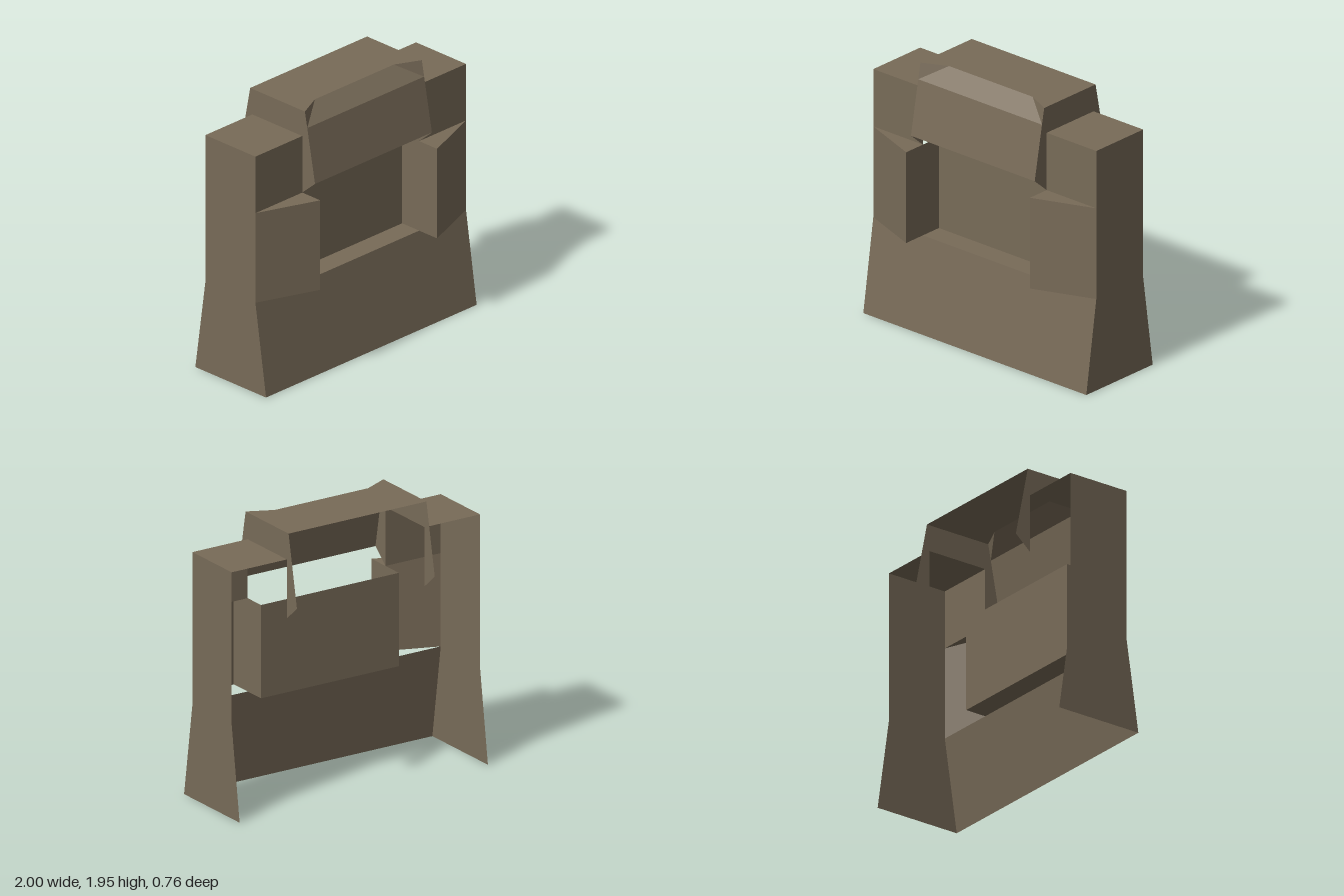
import * as THREE from 'three';

// Main dimensions
const W = 1, IN = 0.555;                          // outer and inner half widths
const SILL = 0.67, LEDGE = 1.335, SHOULDER = 1.755, TOP = 1.945;
const FRONT = 0.21, BACK = -0.26;

export function createModel() {
  const model = new THREE.Group();
  model.name = 'panelledFrame';
  const brown = new THREE.MeshStandardMaterial({ color: 0x786b58, side: THREE.DoubleSide });
  brown.name = 'dull brown';

  const add = (parent, name, geometry) => {
    const mesh = new THREE.Mesh(geometry, brown);
    mesh.name = name;
    parent.add(mesh);
  };

  // Flat convex panel from corners in order; side -1 mirrors it across x
  const panel = (parent, name, corners, side = 1) => {
    const pts = corners.map(([x, y, z]) => new THREE.Vector3(x * side, y, z));
    if (side < 0) pts.reverse();
    const tris = [];
    for (let i = 1; i < pts.length - 1; i++) tris.push(pts[0], pts[i], pts[i + 1]);
    const geometry = new THREE.BufferGeometry().setFromPoints(tris);
    geometry.computeVertexNormals();
    add(parent, name, geometry);
  };

  // Upright plate at x, outlined by [z, y] points and facing outward
  const sidePlate = (parent, name, x, side, outline) => {
    const shape = new THREE.Shape(outline.map(([z, y]) => new THREE.Vector2(-side * z, y)));
    const geometry = new THREE.ShapeGeometry(shape);
    geometry.rotateY(side * Math.PI / 2).translate(side * x, 0, 0);
    add(parent, name, geometry);
  };

  // Sloping lower front
  panel(model, 'lowerFront', [[-W, 0, 0.31], [W, 0, 0.31], [W, SILL, FRONT], [-W, SILL, FRONT]]);

  // Recess between the wedges
  const recess = new THREE.Group();
  recess.name = 'recess';
  model.add(recess);
  panel(recess, 'recessBack', [[-IN, SILL, 0.05], [IN, SILL, 0.05], [IN, LEDGE, 0.05], [-IN, LEDGE, 0.05]]);
  panel(recess, 'recessFloor', [[-IN, SILL, FRONT], [IN, SILL, FRONT], [IN, SILL, 0.05], [-IN, SILL, 0.05]]);

  // Raised head with a bevelled upper front
  const head = new THREE.Group();
  head.name = 'head';
  model.add(head);
  panel(head, 'headFront', [[-IN, 1.44, 0.33], [IN, 1.44, 0.33], [IN, 1.83, 0.257], [-IN, 1.83, 0.257]]);
  panel(head, 'headBevel', [[-IN, 1.83, 0.257], [IN, 1.83, 0.257], [0.375, TOP, 0.15], [-0.375, TOP, 0.15]]);
  panel(head, 'headTopMiddle', [[-0.375, TOP, 0.15], [0.375, TOP, 0.15], [0.375, TOP, -0.28], [-0.375, TOP, -0.28]]);

  for (const side of [1, -1]) {
    const half = new THREE.Group();
    half.name = side > 0 ? 'leftSide' : 'rightSide';
    model.add(half);

    // Outer wall, flared toward the foot
    sidePlate(half, 'outerWall', W, side, [
      [0.31, 0], [FRONT, SILL], [FRONT, SHOULDER], [BACK, SHOULDER], [BACK, SILL], [-0.355, 0]]);

    // Shoulder
    panel(half, 'shoulderTop', [[IN, SHOULDER, FRONT], [W, SHOULDER, FRONT], [W, SHOULDER, BACK], [IN, SHOULDER, BACK]], side);
    panel(half, 'shoulderFront', [[IN, LEDGE, FRONT], [W, LEDGE, FRONT], [W, SHOULDER, FRONT], [IN, SHOULDER, FRONT]], side);

    // Wedge beside the recess
    panel(half, 'wedgeFront', [[IN, SILL, 0.378], [W, SILL, FRONT], [W, LEDGE, FRONT], [IN, LEDGE, 0.378]], side);
    panel(half, 'wedgeTop', [[IN, LEDGE, 0.378], [W, LEDGE, FRONT], [IN, LEDGE, FRONT]], side);
    panel(half, 'wedgeInnerWall', [[IN, SILL, 0.05], [IN, SILL, 0.378], [IN, LEDGE, 0.378], [IN, LEDGE, 0.05]], side);

    // Head end: top wing, cut corner and the plate straddling the shoulder
    panel(half, 'headTopEnd', [[0.375, TOP, 0.15], [IN, TOP, 0.235], [IN, TOP, -0.28], [0.375, TOP, -0.28]], side);
    panel(half, 'headCorner', [[IN, 1.83, 0.257], [IN, TOP, 0.235], [0.375, TOP, 0.15]], side);
    sidePlate(half, 'headEndPlate', IN, side, [
      [0.235, TOP], [0.257, 1.83], [0.33, 1.44], [FRONT, LEDGE], [FRONT, SHOULDER],
      [BACK, SHOULDER], [BACK, LEDGE], [-0.38, 1.44], [-0.28, TOP]]);
  }
  return model;
}
